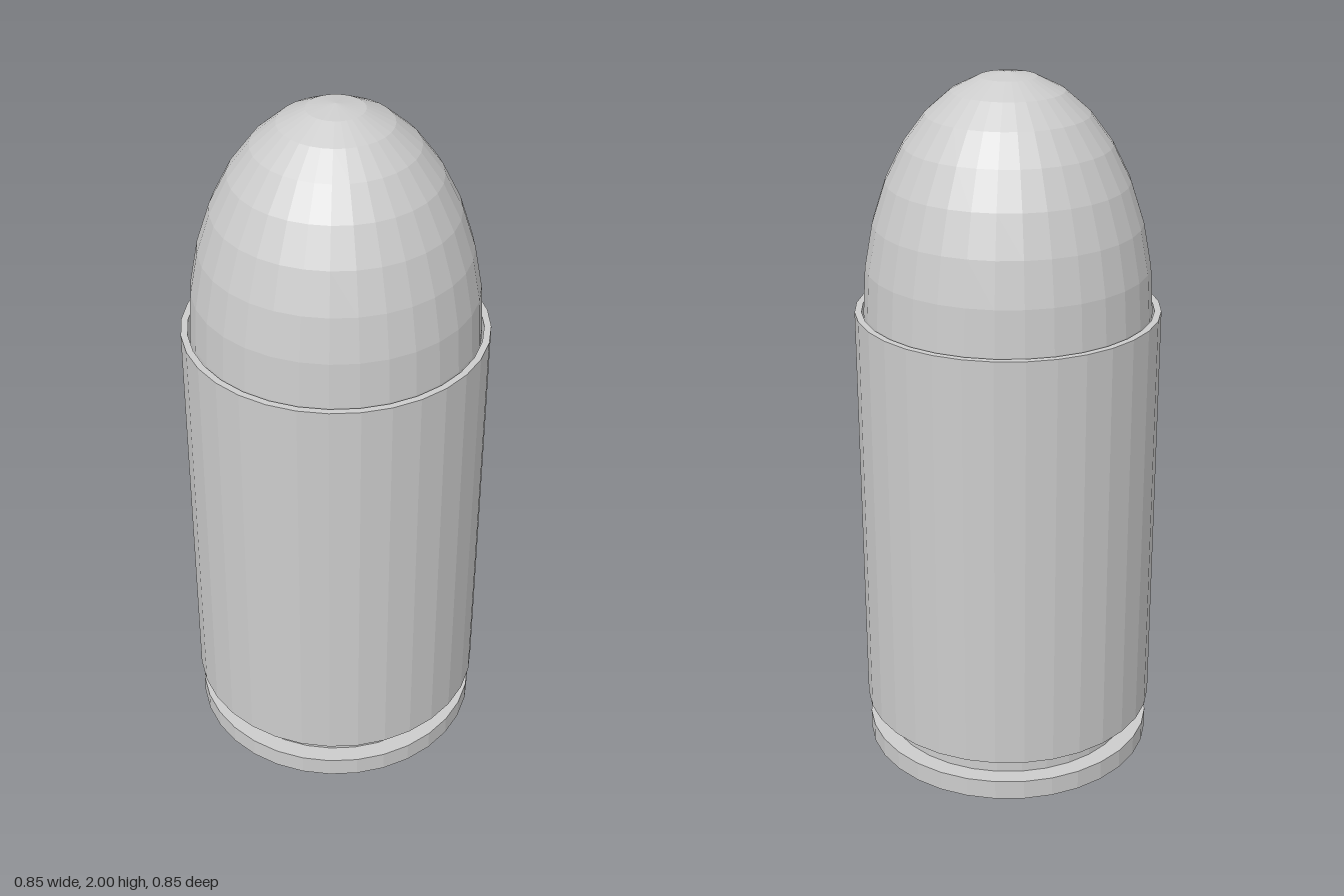
import * as THREE from 'three';

const SEGMENTS = 32;
const material = new THREE.MeshStandardMaterial({ color: 0xcccccc, flatShading: true });

// Faceted solid of revolution; profile runs from bottom to top on the outside
function turned(name, profile) {
  const points = profile.map(([r, y]) => new THREE.Vector2(r, y));
  const mesh = new THREE.Mesh(new THREE.LatheGeometry(points, SEGMENTS), material);
  mesh.name = name;
  return mesh;
}

export function createModel() {
  const group = new THREE.Group();
  group.name = 'cartridge';

  const mouth = 1.345, seat = 1.0, bulletRadius = 0.4;

  // Flanged base disc
  group.add(turned('rim', [[0, 0], [0.419, 0], [0.419, 0.058], [0.368, 0.058]]));

  // Narrow neck between rim and case
  group.add(turned('extractorGroove', [[0.368, 0.058], [0.368, 0.126]]));

  // Hollow case, open at the mouth with a thin wall
  group.add(turned('case', [
    [0.368, 0.126], [0.425, 0.126], [0.425, mouth], [0.406, mouth], [0.406, seat], [0, seat],
  ]));

  // Bullet: straight shank seated in the case, topped by a half ellipsoid
  const bullet = [[bulletRadius, seat]];
  const rings = 8;
  for (let i = 0; i <= rings; i++) {
    const a = (i / rings) * Math.PI / 2;
    const r = i === rings ? 0 : bulletRadius * Math.cos(a);
    bullet.push([r, mouth + (2 - mouth) * Math.sin(a)]);
  }
  group.add(turned('bullet', bullet));

  return group;
}
